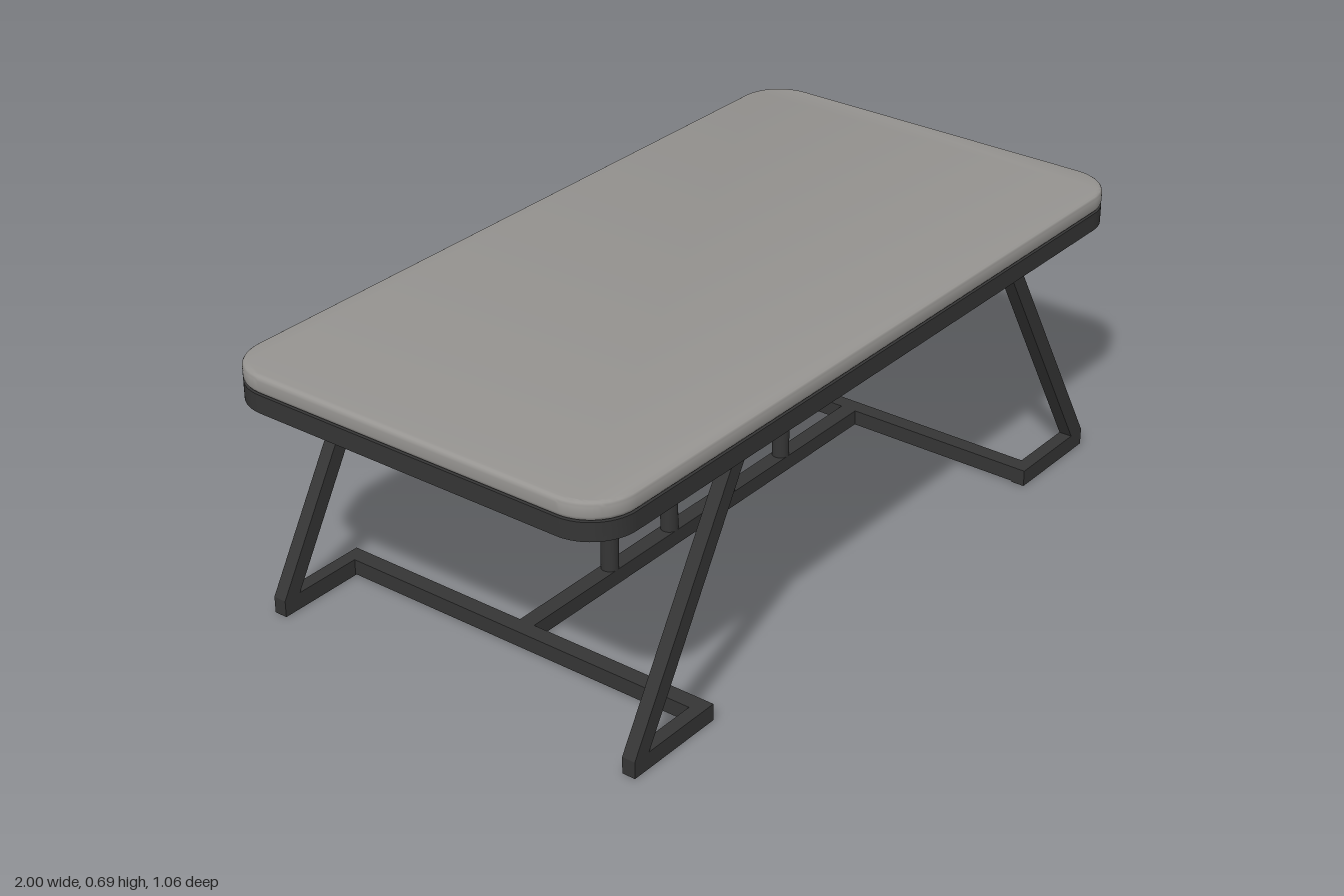
import * as THREE from 'three';
import { toCreasedNormals } from 'three/addons/utils/BufferGeometryUtils.js';

const topMat = new THREE.MeshStandardMaterial({ color: 0x969491 });
topMat.name = 'warm grey top';
const steel = new THREE.MeshStandardMaterial({ color: 0x353535 });
steel.name = 'dark steel';

const BAR = 0.042;      // bar thickness
const RIM_Y = 0.6;      // underside of the rim
const TOP_Y = 0.645;    // underside of the top

// Rounded rectangle centred on the origin
function roundedRect(w, d, r, Type = THREE.Shape) {
  const s = new Type(), x = w / 2, y = d / 2;
  s.moveTo(-x + r, -y);
  s.lineTo(x - r, -y);
  s.absarc(x - r, -y + r, r, -Math.PI / 2, 0);
  s.lineTo(x, y - r);
  s.absarc(x - r, y - r, r, 0, Math.PI / 2);
  s.lineTo(-x + r, y);
  s.absarc(-x + r, y - r, r, Math.PI / 2, Math.PI);
  s.lineTo(-x, -y + r);
  s.absarc(-x + r, -y + r, r, Math.PI, Math.PI * 1.5);
  return s;
}

// Horizontal slab from a shape, with softened edges
function slab(shape, height, bevel) {
  const g = new THREE.ExtrudeGeometry(shape, {
    depth: height - 2 * bevel, bevelEnabled: bevel > 0, bevelThickness: bevel,
    bevelSize: bevel, bevelOffset: -bevel, bevelSegments: 4, curveSegments: 10,
  });
  g.translate(0, 0, bevel);
  g.rotateX(-Math.PI / 2);
  return toCreasedNormals(g, 0.6);
}

function add(parent, name, geometry, material, x = 0, y = 0, z = 0) {
  const m = new THREE.Mesh(geometry, material);
  m.name = name;
  m.position.set(x, y, z);
  parent.add(m);
  return m;
}

const box = (w, h, d) => new THREE.BoxGeometry(w, h, d);

// Slanted leg and its foot as one mitred side outline
function legGeometry() {
  const s = new THREE.Shape();
  [[0.63, 0], [0.9, 0], [0.9, 0.042], [0.567, 0.605], [0.522, 0.605], [0.852, 0.042], [0.63, 0.042]]
    .forEach(([x, y], i) => (i ? s.lineTo(x, y) : s.moveTo(x, y)));
  const g = new THREE.ExtrudeGeometry(s, { depth: 0.034, bevelEnabled: false });
  g.translate(0, 0, -0.017);
  return g;
}

export function createModel() {
  const table = new THREE.Group();
  table.name = 'table';

  // Table top and the hollow rim under it
  add(table, 'tableTop', slab(roundedRect(2, 1.056, 0.115), 0.045, 0.012), topMat, 0, TOP_Y, 0);
  const rim = roundedRect(2, 1.056, 0.115);
  rim.holes.push(roundedRect(1.91, 0.966, 0.075, THREE.Path));
  add(table, 'rim', slab(rim, TOP_Y - RIM_Y, 0), steel, 0, RIM_Y, 0);

  // Bars that brace the underside of the top
  const braceY = (RIM_Y + TOP_Y) / 2 + 0.002;
  const braceH = TOP_Y - RIM_Y - 0.004;
  add(table, 'upperRail', box(1.05, braceH, BAR), steel, 0, braceY, 0);

  // One end frame, turned half round for the other end
  const leg = legGeometry();
  const boltGeo = new THREE.CylinderGeometry(0.012, 0.012, 0.004, 16);
  for (const side of [1, -1]) {
    const end = new THREE.Group();
    end.name = side > 0 ? 'leftEndFrame' : 'rightEndFrame';
    end.rotation.y = side > 0 ? 0 : Math.PI;
    for (const z of [0.509, -0.509]) add(end, 'legAndFoot', leg, steel, 0, 0, z);
    add(end, 'lowerCrossbar', box(BAR, 0.039, 0.99), steel, 0.651, 0.0225, 0);
    add(end, 'upperCrossbar', box(BAR, braceH, 0.98), steel, 0.546, braceY, 0);
    for (const z of [-0.46, 0, 0.46]) add(end, 'bolt', boltGeo, steel, 0.546, RIM_Y + 0.002, z);
    table.add(end);
  }

  // Floor rail with four round uprights
  add(table, 'lowerRail', box(1.27, 0.039, BAR), steel, 0, 0.0225, 0);
  const post = new THREE.CylinderGeometry(0.0215, 0.0215, RIM_Y - 0.035, 24);
  for (const x of [-0.335, -0.112, 0.112, 0.335]) {
    add(table, 'upright', post, steel, x, (RIM_Y + 0.045) / 2, 0);
  }
  return table;
}
